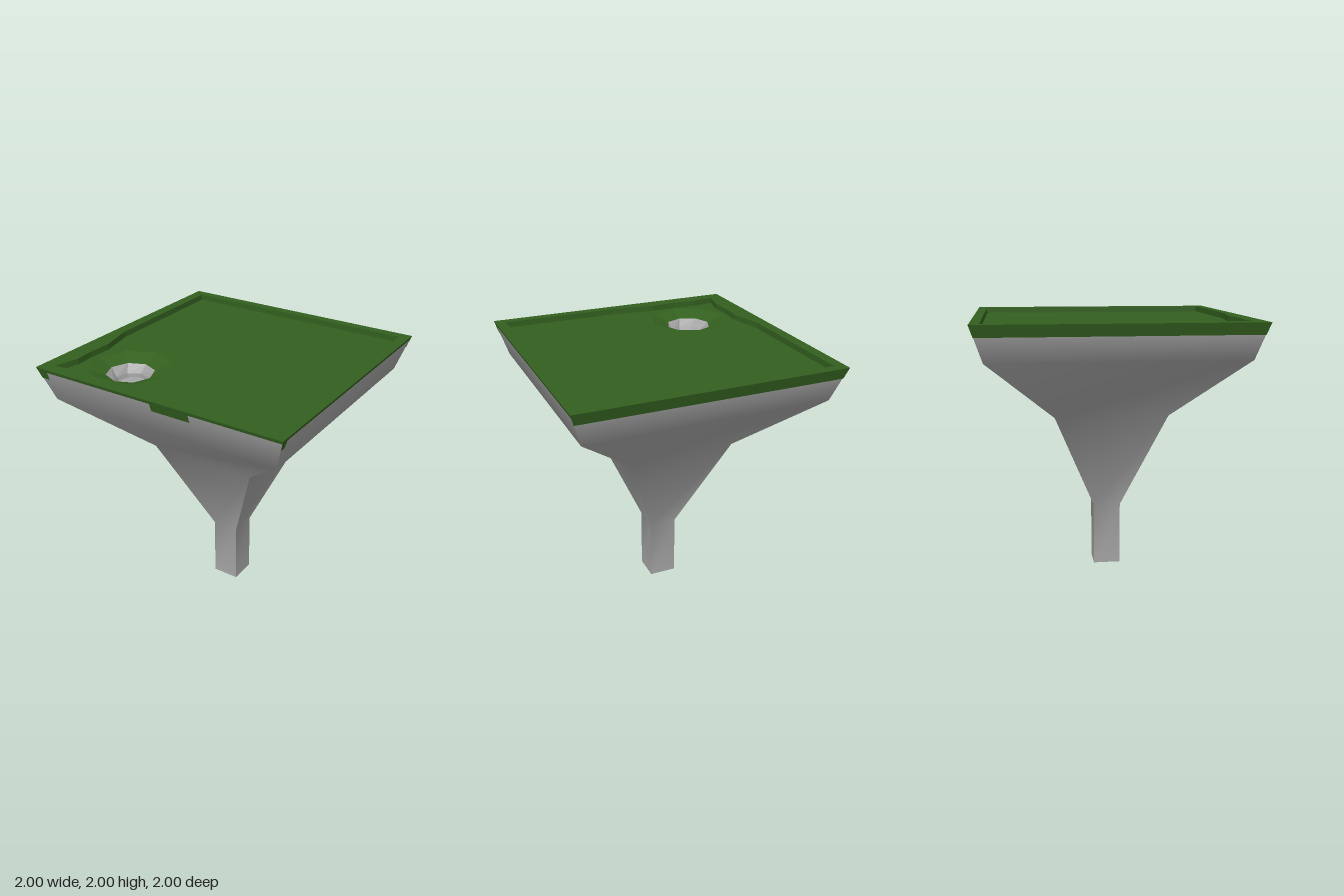
import * as THREE from 'three';

const stone = new THREE.MeshStandardMaterial({ color: 0xa5a5a5, side: THREE.DoubleSide });
stone.name = 'grey stone';
const grass = new THREE.MeshStandardMaterial({ color: 0x33601f, side: THREE.DoubleSide });
grass.name = 'grass green';

const SKIN = 0.003;
const TOP = 2, FLOOR = 1.955, THIN = 1.975, THICK = 1.915;
// half-width of the square pedestal at each height
const profile = [[0, 0.105], [0.49, 0.105], [1.27, 0.425], [1.74, 0.915], [TOP, 0.997]];

function halfWidth(y) {
  let i = 1;
  while (i < profile.length - 1 && profile[i][0] < y) i++;
  const [y0, r0] = profile[i - 1], [y1, r1] = profile[i];
  return r0 + (r1 - r0) * (y - y0) / (y1 - y0);
}

function geometryFrom(positions, index) {
  const g = new THREE.BufferGeometry();
  g.setAttribute('position', new THREE.Float32BufferAttribute(positions, 3));
  if (index) g.setIndex(index);
  g.computeVertexNormals();
  return g;
}

// One smooth face of the pedestal, facing +z
function sideFace(topY) {
  const ys = [...profile.slice(0, -1).map((p) => p[0]), topY];
  const pos = [], idx = [];
  ys.forEach((y, i) => {
    const r = halfWidth(y);
    pos.push(-r, y, r, r, y, r);
    if (i) {
      const a = 2 * i - 2;
      idx.push(a, a + 1, a + 3, a, a + 3, a + 2);
    }
  });
  return geometryFrom(pos, idx);
}

// Thin grass skin on the upper edge of a face, from u0 to u1 and down to y0
function edgeSkin(u0, u1, y0) {
  const pos = [];
  for (const y of [y0, TOP]) {
    const r = halfWidth(y) + SKIN;
    for (const u of [u0, u1]) pos.push(THREE.MathUtils.clamp(u, -r, r), y, r);
  }
  return geometryFrom(pos, [0, 1, 3, 0, 3, 2]);
}

// Flat-shaded band between two rings, counter-clockwise from above
function loft(a, b) {
  const pos = [];
  a.forEach((p, i) => {
    const j = (i + 1) % a.length;
    for (const v of [p, a[j], b[j], p, b[j], b[i]]) pos.push(...v);
  });
  return geometryFrom(pos);
}

function octagon(cx, cz, radius, y, turn = 0) {
  return Array.from({ length: 8 }, (_, i) => {
    const t = turn + i * Math.PI / 4;
    return [cx + radius * Math.cos(t), y, cz - radius * Math.sin(t)];
  });
}

// Level surface bounded by a ring, with an optional hole
function level(outer, y, hole) {
  const flat = (ring) => ring.map(([x, , z]) => new THREE.Vector2(x, -z));
  const shape = new THREE.Shape(flat(outer));
  if (hole) shape.holes.push(new THREE.Path(flat(hole)));
  return new THREE.ShapeGeometry(shape).rotateX(-Math.PI / 2).translate(0, y, 0);
}

export function createModel() {
  const model = new THREE.Group();
  const add = (name, geometry, material, parent = model) => {
    const mesh = new THREE.Mesh(geometry, material);
    mesh.name = name;
    parent.add(mesh);
    return mesh;
  };

  // Faces in order: front, +x, back, -x, each with its grass edge and overhangs
  const faces = [
    { name: 'front', drop: THIN, tabs: [[-1, -0.905], [0, 0.305]] },
    { name: 'left', drop: THIN, tabs: [[-1, -0.93]] },
    { name: 'back', drop: THICK, tabs: [] },
    { name: 'right', drop: THICK, tabs: [] },
  ];
  faces.forEach(({ name, drop, tabs }, k) => {
    const side = new THREE.Group();
    side.name = name + 'Side';
    side.rotation.y = k * Math.PI / 2;
    add('pedestalFace', sideFace(drop), stone, side);
    add('grassEdge', edgeSkin(-1, 1, drop), grass, side);
    for (const [u0, u1] of tabs) add('grassOverhang', edgeSkin(u0, u1, THICK), grass, side);
    model.add(side);
  });

  const base = add('pedestalBase', new THREE.PlaneGeometry(0.21, 0.21), stone);
  base.rotation.x = Math.PI / 2;

  // Raised grass rim, uneven on the corner nearest the crater
  const inner = [
    [-0.92, -0.93], [-0.915, 0.13], [-0.855, 0.4], [-0.865, 0.58], [-0.855, 0.72], [-0.9, 0.91],
    [-0.73, 0.885], [-0.54, 0.9], [-0.34, 0.885], [0, 0.93], [0.92, 0.93], [0.92, -0.93],
  ];
  const ringAt = (y) => inner.map(([x, z]) => [x, y, z]);
  const square = [[-1, TOP, -1], [-1, TOP, 1], [1, TOP, 1], [1, TOP, -1]];
  add('grassRim', level(square, TOP, ringAt(TOP)), grass);
  add('rimInnerWall', loft(ringAt(TOP), ringAt(FLOOR)), grass);

  // Lawn, dipping gently towards the crater
  const cx = -0.515, cz = 0.557, lip = 1.91;
  const dip = octagon(cx, cz, 0.31, FLOOR);
  const mouth = octagon(cx, cz, 0.178, lip);
  add('lawn', level(ringAt(FLOOR), FLOOR, dip), grass);
  add('lawnDip', loft(dip, mouth), grass);

  // Stone crater: sloped wall, small step and flat floor
  const step = octagon(cx + 0.003, cz - 0.004, 0.128, lip - 0.06, 0.15);
  const bottom = octagon(cx + 0.003, cz - 0.012, 0.118, lip - 0.09, 0.15);
  add('craterWall', loft(mouth, step), stone);
  add('craterStep', loft(step, bottom), stone);
  add('craterFloor', level(bottom, lip - 0.09), stone);

  return model;
}
